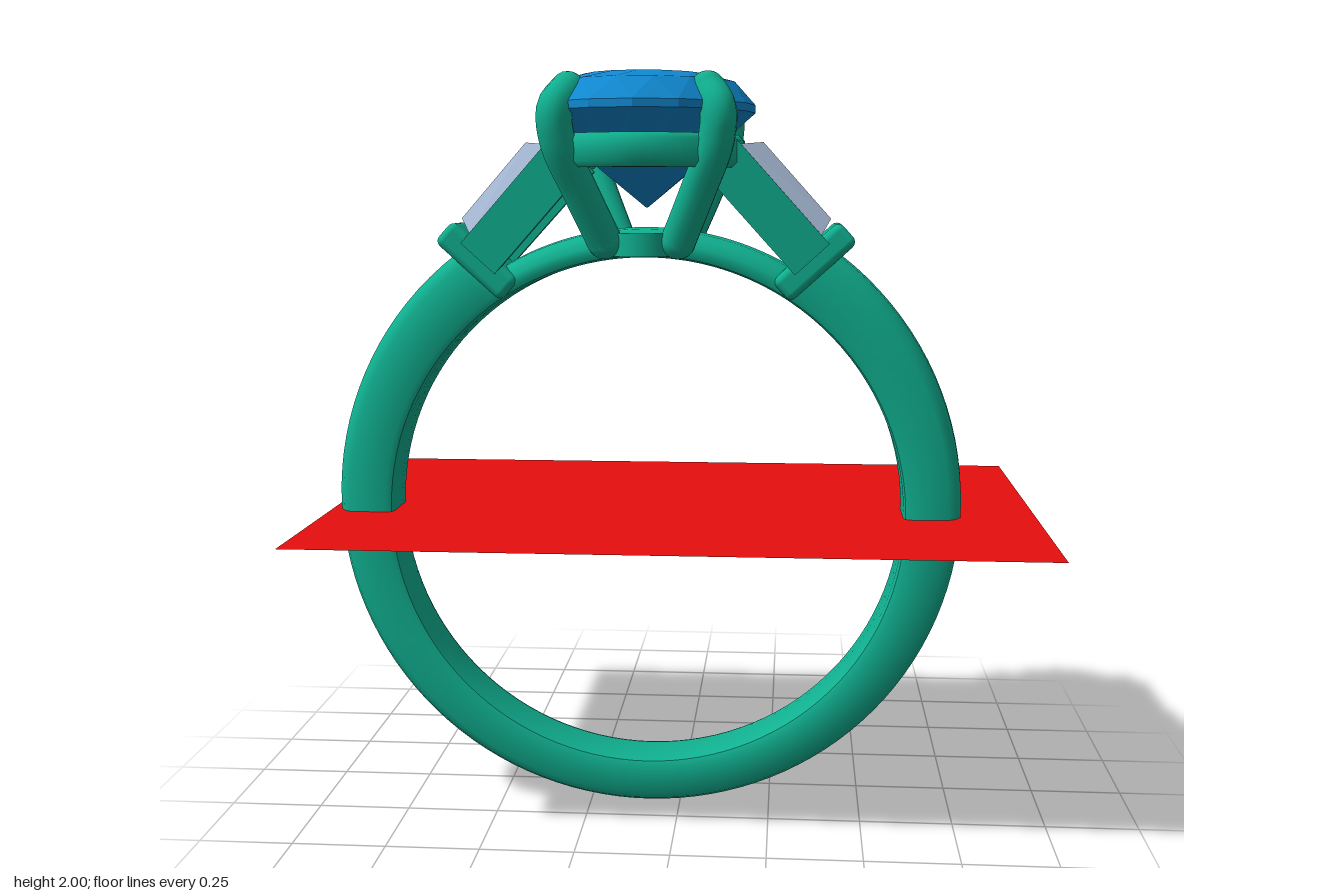
import * as THREE from 'three';
import { toCreasedNormals } from 'three/addons/utils/BufferGeometryUtils.js';
import { RoundedBoxGeometry } from 'three/addons/geometries/RoundedBoxGeometry.js';

const metal = new THREE.MeshStandardMaterial({ color: 0x10b090 });
const blue = new THREE.MeshStandardMaterial({ color: 0x1088d0, flatShading: true });
const pale = new THREE.MeshStandardMaterial({ color: 0xb4c8e6, flatShading: true });
const red = new THREE.MeshStandardMaterial({ color: 0xe60e0e, side: THREE.DoubleSide });

// Skins a list of equal-length point loops and closes both ends
function loft(rings, crease = 0) {
  const out = [], n = rings[0].length;
  const tri = (...pts) => pts.forEach(p => out.push(...p));
  for (let k = 0; k + 1 < rings.length; k++) {
    const a = rings[k], b = rings[k + 1];
    for (let j = 0; j < n; j++) {
      const m = (j + 1) % n;
      tri(a[j], b[j], a[m]);
      tri(a[m], b[j], b[m]);
    }
  }
  const first = rings[0], last = rings[rings.length - 1];
  for (let j = 1; j + 1 < n; j++) {
    tri(first[0], first[j], first[j + 1]);
    tri(last[0], last[j + 1], last[j]);
  }
  const geo = new THREE.BufferGeometry();
  geo.setAttribute('position', new THREE.Float32BufferAttribute(out, 3));
  geo.computeVertexNormals();
  return crease ? toCreasedNormals(geo, crease) : geo;
}

function add(parent, name, geo, mat, x = 0, y = 0, z = 0) {
  const mesh = new THREE.Mesh(geo, mat);
  mesh.name = name;
  mesh.position.set(x, y, z);
  parent.add(mesh);
  return mesh;
}

// Band section: flat inside, softly rounded outside; t is its thickness
function bandSection(t) {
  const half = [[t - 0.004, 0.04], [t - 0.018, 0.066], [t - 0.04, 0.082], [0.02, 0.084], [0.005, 0.077], [0, 0.06]];
  return [[t, 0], ...half, ...half.map(([r, z]) => [r, -z]).reverse()];
}

function band(from, to, thickness) {
  const rings = [], steps = 96;
  for (let i = 0; i <= steps; i++) {
    const a = from + (to - from) * i / steps;
    rings.push(bandSection(thickness(a)).map(([r, z]) =>
      [(0.695 + r) * Math.cos(a), 0.83 + (0.695 + r) * Math.sin(a), z]));
  }
  return loft(rings, 0.7);
}

// Oval gallery rail under the centre stone
function galleryRail() {
  const section = [[0.03, -0.028], [0.03, 0.028], [0.016, 0.042], [-0.016, 0.042],
    [-0.03, 0.028], [-0.03, -0.028], [-0.016, -0.042], [0.016, -0.042]];
  const rings = [];
  for (let i = 0; i <= 64; i++) {
    const a = i / 64 * Math.PI * 2;
    rings.push(section.map(([p, q]) => [(0.23 + p) * Math.cos(a), 1.8 + q, -(0.325 + p) * Math.sin(a)]));
  }
  return loft(rings, 0.9);
}

// Oval faceted stone: [height, share of the full outline], each loop turned half a facet
function ovalStone() {
  const levels = [[1.655, 0.01, 0], [1.785, 0.56, 1], [1.9, 1, 0], [1.92, 1, 0], [1.978, 0.83, 1], [1.998, 0.58, 0]];
  return loft(levels.map(([y, s, turn]) => Array.from({ length: 16 }, (_, j) => {
    const a = (j + turn / 2) / 16 * Math.PI * 2;
    return [0.288 * s * Math.cos(a), y, 0.372 * s * Math.sin(a)];
  })));
}

// Tapered side stone: [height, low end, high end, half width low, half width high]
function taperedStone() {
  const levels = [[-0.04, 0.1, 0.3, 0.03, 0.04], [0.045, 0.04, 0.355, 0.08, 0.1],
    [0.06, 0.04, 0.355, 0.08, 0.1], [0.106, 0.055, 0.32, 0.058, 0.078]];
  return loft(levels.map(([v, lo, hi, w0, w1]) => [[v, lo, w0], [v, hi, w1], [v, hi, -w1], [v, lo, -w0]]));
}

// Collar, two rails and a stone, leaning towards the head
function shoulder(name) {
  const side = new THREE.Group();
  side.name = name;
  const lean = new THREE.Group();
  lean.position.set(0.447, 1.515, 0);
  lean.rotation.z = 0.735;
  side.add(lean);
  add(lean, 'collar', new RoundedBoxGeometry(0.235, 0.075, 0.195, 3, 0.02), metal);
  for (const s of [1, -1]) {
    const rail = add(lean, 'sideRail', new THREE.BoxGeometry(0.12, 0.36, 0.024), metal, 0, 0.19, s * 0.1);
    rail.rotation.x = s * 0.055;
  }
  add(lean, 'sideStone', taperedStone(), pale);
  return side;
}

export function createModel() {
  const model = new THREE.Group();
  model.name = 'ring';
  const ring = new THREE.Group();
  ring.name = 'ringBody';
  ring.position.set(-0.09, 0, 0.105);
  model.add(ring);

  // Band: full shank below the collars, thin arch between them
  const c = 0.99;
  add(ring, 'shank', band(-Math.PI - c, c, a => 0.158 + 0.023 * Math.sin(a)), metal);
  add(ring, 'arch', band(c, Math.PI - c, () => 0.078), metal);

  // Shoulders
  const left = shoulder('leftShoulder'), right = shoulder('rightShoulder');
  right.rotation.y = Math.PI;
  ring.add(left, right);

  // Head
  const base = add(ring, 'headBase', new THREE.CylinderGeometry(1, 1, 0.06, 48), metal, 0, 1.562, 0);
  base.scale.set(0.125, 1, 0.2);
  add(ring, 'galleryRail', galleryRail(), metal);
  add(ring, 'centreStone', ovalStone(), blue);
  for (const sx of [1, -1]) for (const sz of [1, -1]) {
    const pts = [[0.095, 1.57, 0.158], [0.15, 1.7, 0.213], [0.197, 1.82, 0.265], [0.203, 1.9, 0.272], [0.175, 1.948, 0.232]]
      .map(([x, y, z]) => new THREE.Vector3(sx * x, y, sz * z));
    const prong = new THREE.Group();
    prong.name = 'prong';
    ring.add(prong);
    add(prong, 'prongShaft', new THREE.TubeGeometry(new THREE.CatmullRomCurve3(pts), 24, 0.046, 14), metal);
    for (const p of [pts[0], pts[4]])
      add(prong, 'prongEnd', new THREE.SphereGeometry(0.046, 14, 10), metal, p.x, p.y, p.z);
  }

  // Flat sheet cutting through the middle of the band
  const sheet = add(model, 'sheet', new THREE.PlaneGeometry(1.925, 1.265), red, 0, 0.83, 0);
  sheet.rotation.x = -Math.PI / 2;
  return model;
}
